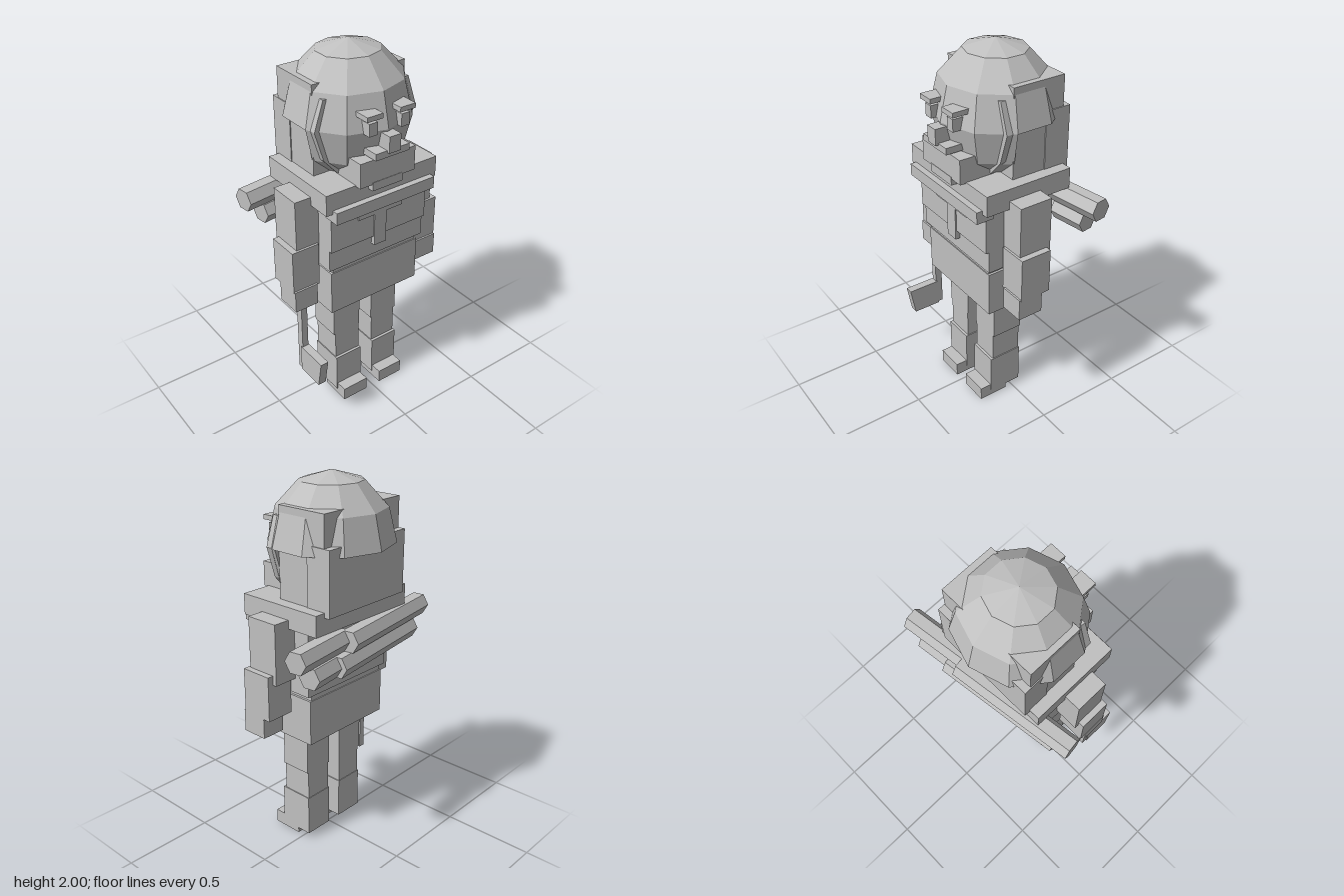
import * as THREE from 'three';

export function createModel() {
  const model = new THREE.Group();
  const grey = new THREE.MeshStandardMaterial({ color: 0xc0c0c0, flatShading: true, side: THREE.DoubleSide });
  grey.name = 'plain grey';

  function add(name, geometry) {
    const mesh = new THREE.Mesh(geometry, grey);
    mesh.name = name;
    model.add(mesh);
    return mesh;
  }
  // Box given by its limits on each axis
  function box(name, x0, x1, y0, y1, z0, z1) {
    const mesh = add(name, new THREE.BoxGeometry(x1 - x0, y1 - y0, z1 - z0));
    mesh.position.set((x0 + x1) / 2, (y0 + y1) / 2, (z0 + z1) / 2);
    return mesh;
  }
  // The same box on both sides
  function pair(name, x0, x1, ...rest) {
    box(name + 'Left', x0, x1, ...rest);
    box(name + 'Right', -x1, -x0, ...rest);
  }

  // Legs and feet
  pair('thigh', 0.04, 0.21, 0.42, 0.67, -0.045, 0.13);
  pair('knee', 0.045, 0.2, 0.255, 0.425, -0.042, 0.13);
  pair('shin', 0.04, 0.205, 0.035, 0.26, -0.045, 0.145);
  pair('foot', 0.045, 0.2, 0, 0.075, 0.04, 0.21);

  // Body
  box('coatSkirt', -0.277, 0.277, 0.655, 0.9, -0.135, 0.21);
  box('waist', -0.265, 0.265, 0.89, 0.94, -0.13, 0.205);
  box('belly', -0.295, 0.295, 0.93, 1.06, -0.14, 0.222);
  box('chest', -0.295, 0.295, 1.05, 1.3, -0.14, 0.24);
  box('shoulderYoke', -0.336, 0.336, 1.285, 1.395, -0.233, 0.262);
  box('chestBand', -0.3, 0.3, 1.24, 1.305, 0.2, 0.295);
  box('chestBar', -0.135, 0.135, 1.18, 1.24, 0.2, 0.247);
  box('chestStem', -0.037, 0.037, 1.0, 1.18, 0.2, 0.247);

  // Arms
  pair('upperArm', 0.29, 0.427, 1.01, 1.33, -0.05, 0.133);
  pair('forearm', 0.305, 0.46, 0.82, 1.06, -0.028, 0.145);
  pair('hand', 0.325, 0.458, 0.71, 0.83, 0.015, 0.155);

  // Hand tool: a thin shaft with a tapered blade
  box('toolShaft', -0.412, -0.377, 0.29, 0.72, 0.09, 0.13);
  const bladeShape = new THREE.Shape([[0.12, 0.285], [0.278, 0.285], [0.305, 0.44], [0.12, 0.44]]
    .map(([z, y]) => new THREE.Vector2(-z, y)));
  const blade = add('toolBlade', new THREE.ExtrudeGeometry(bladeShape, { depth: 0.045, bevelEnabled: false }));
  blade.rotation.y = Math.PI / 2;
  blade.position.x = -0.417;

  // Ten-sided dome, with the lower face only at the front
  const start = Math.PI / 10;
  function placeHead(mesh) {
    mesh.position.set(0, 1.65, -0.025);
    mesh.scale.set(0.33, 0.35, 0.317);
  }
  placeHead(add('helmetDome', new THREE.SphereGeometry(1, 10, 3, start, Math.PI * 2, 0, Math.PI / 2)));
  placeHead(add('helmetUnderside', new THREE.CircleGeometry(1, 10, start).rotateX(Math.PI / 2)));
  placeHead(add('lowerFace', new THREE.SphereGeometry(1, 4, 2, start, Math.PI * 0.8, Math.PI / 2, Math.PI / 3)));

  // Hood behind the face, and its back panel
  box('hood', -0.272, 0.272, 1.39, 1.86, -0.225, 0.068);
  box('hoodBack', -0.277, 0.277, 1.37, 1.7, -0.262, -0.12);

  // Curved cheek guards
  for (const side of [-1, 1]) {
    const points = [[0.25, 1.8], [0.3, 1.65], [0.25, 1.49], [0.17, 1.4], [0.16, 1.43], [0.22, 1.51], [0.26, 1.65], [0.22, 1.8]];
    const shape = new THREE.Shape(points.map(([x, y]) => new THREE.Vector2(x * side, y)));
    const guard = add(side > 0 ? 'cheekGuardLeft' : 'cheekGuardRight',
      new THREE.ExtrudeGeometry(shape, { depth: 0.055, bevelEnabled: false }));
    guard.position.z = 0.07;
  }

  // Face
  box('chinScarf', -0.165, 0.165, 1.39, 1.52, 0.1, 0.295);
  box('scarfKnot', -0.092, 0.09, 1.355, 1.4, 0.2, 0.297);
  box('nose', -0.034, 0.034, 1.555, 1.64, 0.24, 0.342);
  box('moustache', -0.1, 0.1, 1.53, 1.565, 0.2, 0.327);
  pair('eye', 0.07, 0.118, 1.645, 1.71, 0.22, 0.298);
  pair('eyebrow', 0.05, 0.14, 1.728, 1.753, 0.22, 0.312);

  // Hexagonal tubes slung across the back, each in two stepped lengths
  function tube(name, x0, z0, x1, z1, y) {
    const length = Math.hypot(x1 - x0, z1 - z0);
    const geometry = new THREE.CylinderGeometry(0.061, 0.061, length, 6);
    geometry.rotateZ(-Math.PI / 2);
    const mesh = add(name, geometry);
    mesh.position.set((x0 + x1) / 2, y, (z0 + z1) / 2);
    mesh.rotation.y = Math.atan2(z0 - z1, x1 - x0);
  }
  tube('upperTube', -0.525, -0.185, 0.165, -0.28, 1.23);
  tube('upperTubeEnd', 0.15, -0.228, 0.524, -0.28, 1.23);
  tube('lowerTube', -0.43, -0.19, 0.25, -0.283, 1.125);
  tube('lowerTubeEnd', 0.24, -0.253, 0.435, -0.28, 1.125);

  return model;
}
